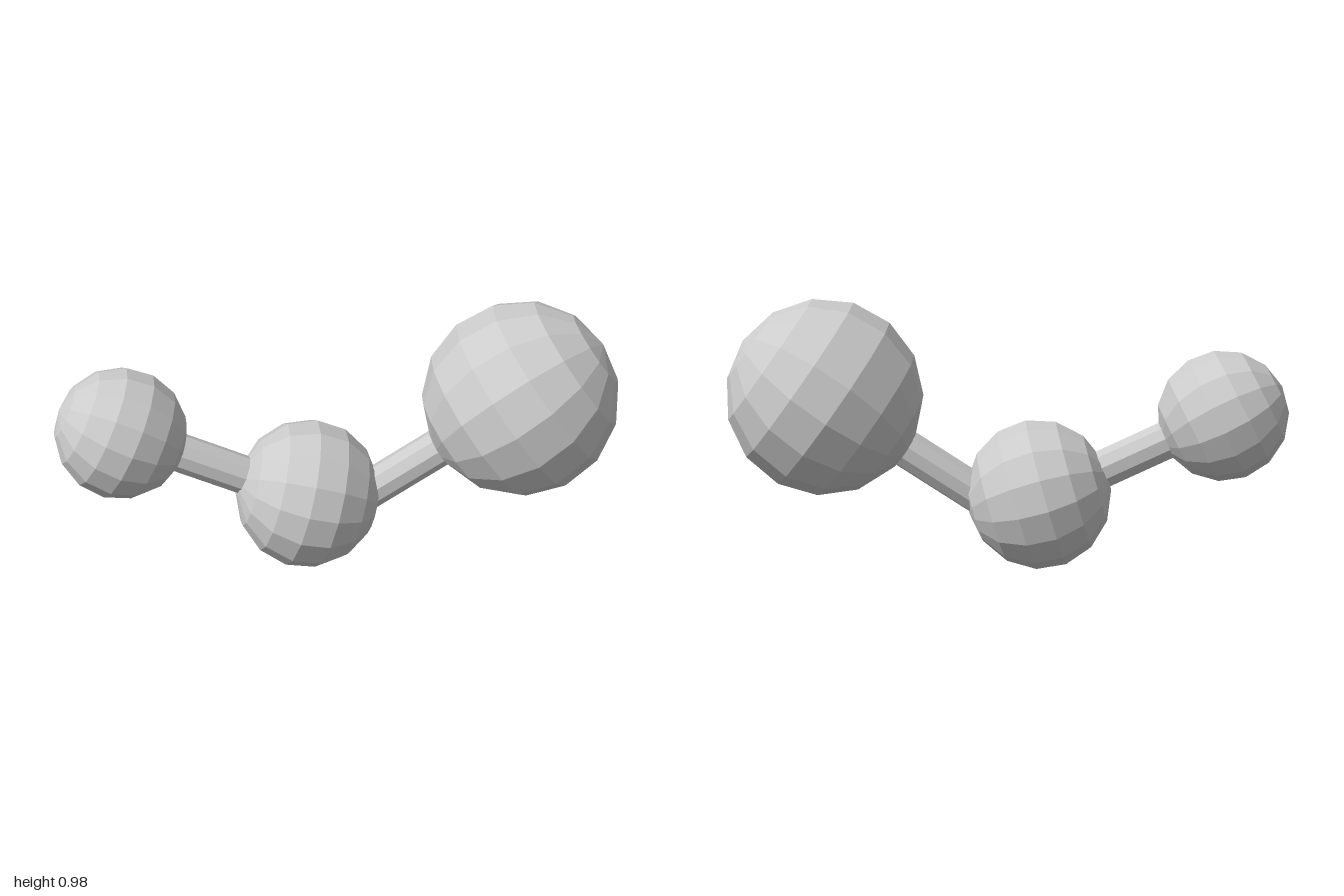
import * as THREE from 'three';

const material = new THREE.MeshStandardMaterial({ color: 0xcccccc, flatShading: true });
const SIDES = 15; // the same regular polygon forms both profile and rings
const Z = 0.005;

// Faceted ball: a 15-sided outline spun about its axis, pole at one end and a small flat at the other
function ball(name, x, y, radius, axisDegrees, stretch = 1) {
  const step = (2 * Math.PI) / SIDES;
  const profile = [new THREE.Vector2(0, radius * Math.cos(7 * step))];
  for (let k = 7; k >= 1; k--) {
    profile.push(new THREE.Vector2(radius * Math.sin(k * step), radius * Math.cos(k * step)));
  }
  profile.push(new THREE.Vector2(0, radius));
  const mesh = new THREE.Mesh(new THREE.LatheGeometry(profile, SIDES, Math.PI), material);
  mesh.name = name;
  mesh.scale.y = stretch;
  mesh.position.set(x, y, Z);
  mesh.rotation.z = THREE.MathUtils.degToRad(axisDegrees - 90);
  return mesh;
}

// Ten-sided rod between two points in the front plane
function rod(name, x1, y1, x2, y2) {
  const length = Math.hypot(x2 - x1, y2 - y1);
  const geometry = new THREE.CylinderGeometry(0.07, 0.07, length, 10, 1, false, Math.PI / 2);
  const mesh = new THREE.Mesh(geometry, material);
  mesh.name = name;
  mesh.position.set((x1 + x2) / 2, (y1 + y2) / 2, Z);
  mesh.rotation.z = Math.atan2(y2 - y1, x2 - x1) - Math.PI / 2;
  return mesh;
}

export function createModel() {
  const model = new THREE.Group();
  model.name = 'ballAndStickModel';
  model.add(
    ball('smallBall', -0.765, 0.56, 0.235, 153),
    ball('middleBall', -0.107, 0.272, 0.272, -16, 0.96),
    ball('largeBall', 0.656, 0.633, 0.351, 35.7),
    // rods run into the balls at both ends
    rod('rightRod', -0.17, 0.285, -0.765, 0.564),
    rod('leftRod', 0.02, 0.21, 0.656, 0.633),
  );
  return model;
}
